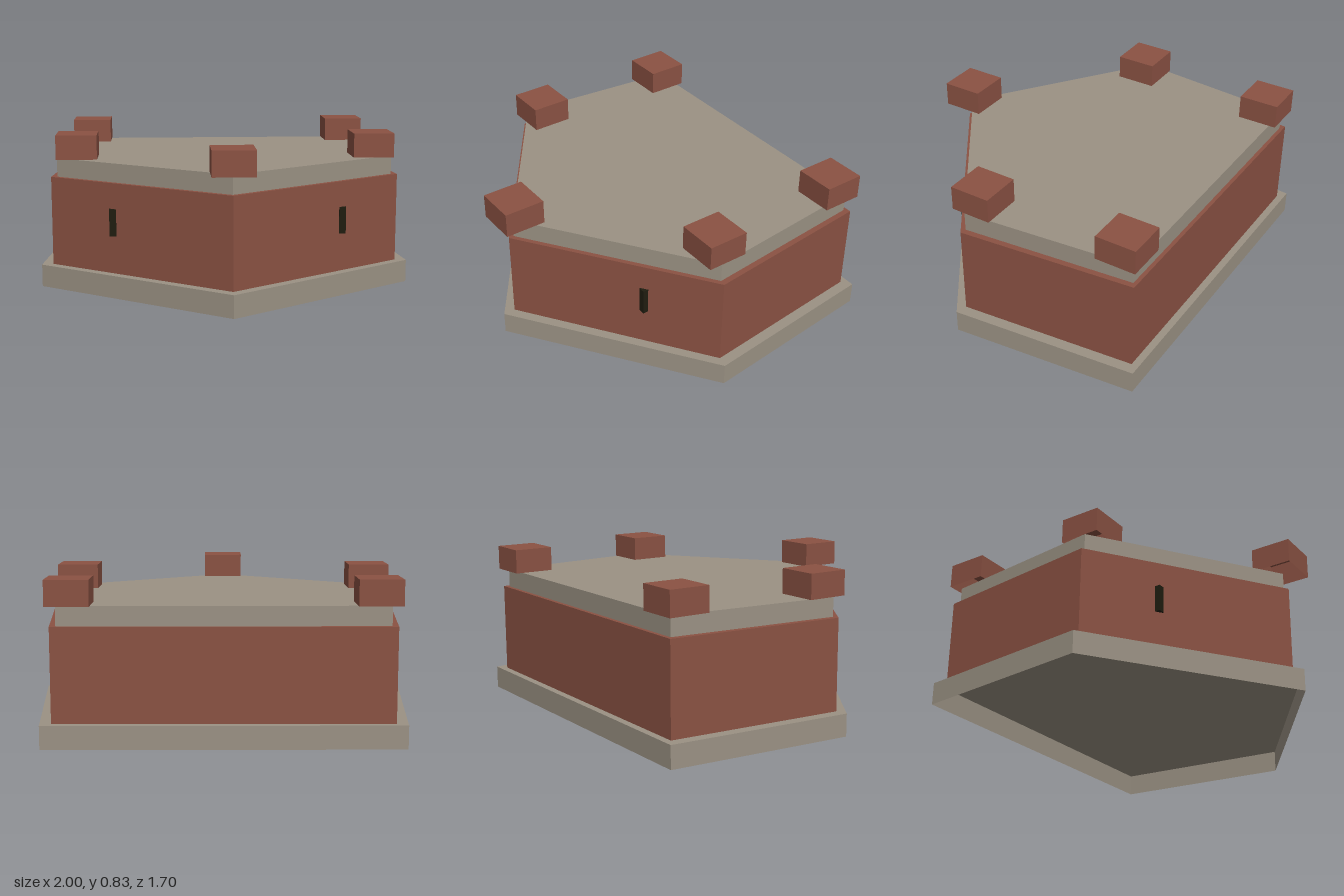
import * as THREE from 'three';

// Convex outline [x, z] raised from y0 to y1: side walls and a top, open underneath.
function prism(outline, y0, y1) {
  const pos = [];
  const n = outline.length;
  const put = (i, y) => pos.push(outline[i % n][0], y, outline[i % n][1]);
  for (let i = 0; i < n; i++) {
    put(i, y0); put(i + 1, y0); put(i + 1, y1);
    put(i, y0); put(i + 1, y1); put(i, y1);
  }
  for (let i = 1; i < n - 1; i++) {
    put(0, y1); put(i, y1); put(i + 1, y1);
  }
  const geo = new THREE.BufferGeometry();
  geo.setAttribute('position', new THREE.Float32BufferAttribute(pos, 3));
  geo.computeVertexNormals();
  return geo;
}

// Mirrored five-sided plan: front point, side corners, back corners.
const pentagon = (front, sideX, sideZ, backX, backZ) => [
  [0, front], [sideX, sideZ], [backX, backZ], [-backX, backZ], [-sideX, sideZ],
];

const square = (x, z, h) => [[x - h, z + h], [x + h, z + h], [x + h, z - h], [x - h, z - h]];

export function createModel() {
  const material = (name, color) => {
    const m = new THREE.MeshStandardMaterial({ color, side: THREE.DoubleSide });
    m.name = name;
    return m;
  };
  const stone = material('stone', 0x9b9284);
  const brick = material('brick', 0x8b5243);
  const dark = material('slitDark', 0x1f1d10);

  const model = new THREE.Group();
  model.name = 'bastion';
  const add = (name, geo, mat) => {
    const mesh = new THREE.Mesh(geo, mat);
    mesh.name = name;
    model.add(mesh);
    return mesh;
  };

  // Stacked body
  add('plinth', prism(pentagon(0.85, 1, 0.143, 0.9, -0.85), 0, 0.12), stone);
  add('walls', prism(pentagon(0.786, 0.94, 0.127, 0.846, -0.812), 0.12, 0.6), brick);
  add('roofSlab', prism(pentagon(0.757, 0.907, 0.12, 0.817, -0.791), 0.6, 0.7), stone);

  // One merlon over each corner
  const corners = [[0, 0.742], [0.798, 0.083], [-0.798, 0.083], [0.758, -0.718], [-0.758, -0.718]];
  for (const [x, z] of corners) {
    add('merlon', prism(square(x, z, 0.109), 0.7, 0.83), brick);
  }

  // Arrow slits set into the two front walls
  for (const side of [-1, 1]) {
    add('arrowSlit', new THREE.BoxGeometry(0.036, 0.142, 0.036), dark)
      .position.set(side * 0.603, 0.393, 0.362);
  }
  return model;
}
